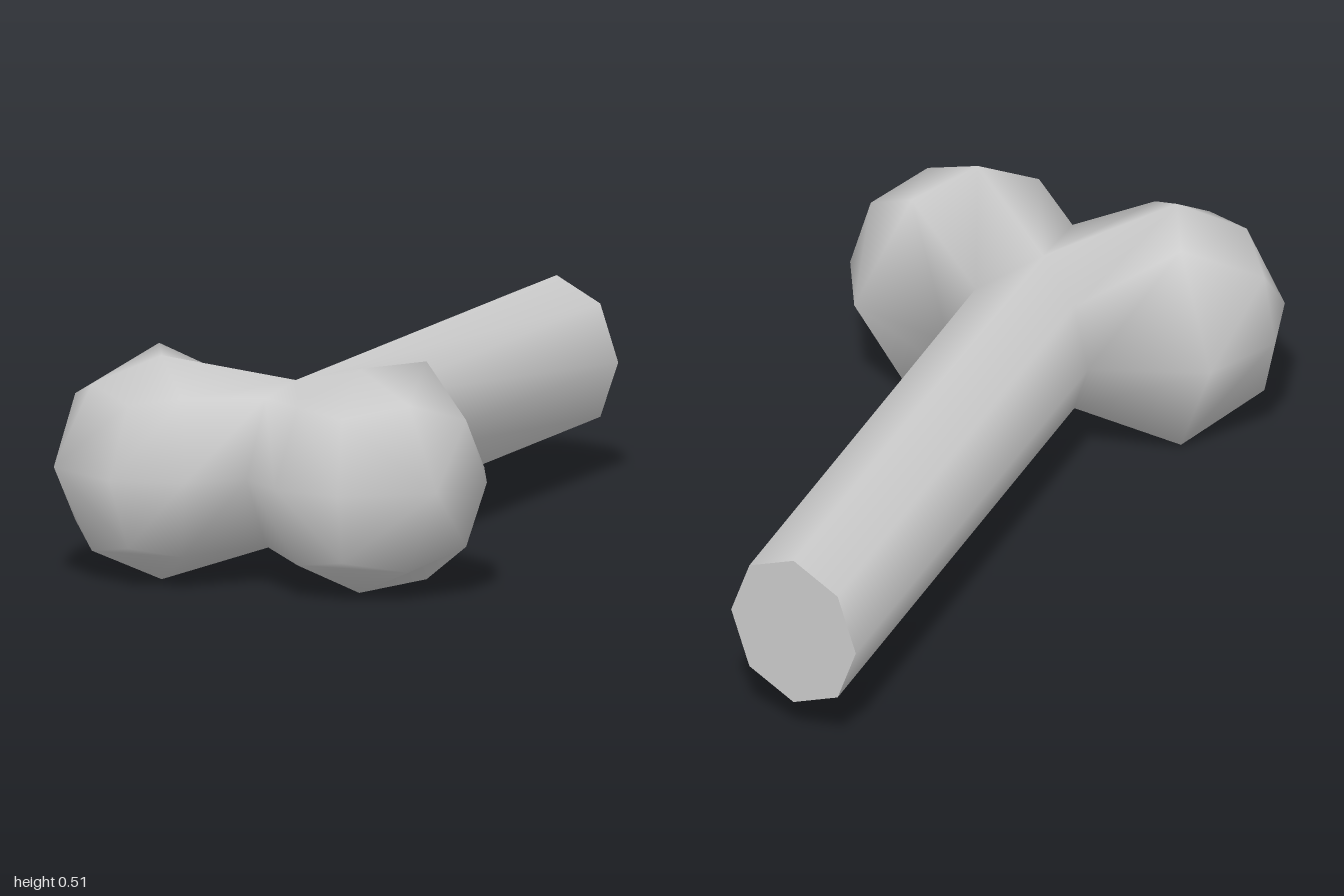
import * as THREE from 'three';
import { mergeVertices } from 'three/addons/utils/BufferGeometryUtils.js';

const MID = 0.257; // height of the bone's axis

// Upper half of each knob ring, outer side to inner side: [x, height above axis, z]
const HALF_RINGS = [
  [[0.168, 0, 0.42], [0.119, 0.129, 0.46], [0, 0.181, 0.57], [0, 0.168, 0.75], [0, 0, 0.86]],
  [[0.43, 0, 0.505], [0.325, 0.248, 0.59], [0.24, 0.255, 0.78], [0.14, 0.18, 0.9], [0.11, 0, 0.962]],
  [[0.513, 0, 0.69], [0.475, 0.144, 0.72], [0.385, 0.19, 0.84], [0.26, 0.163, 0.93], [0.277, 0, 0.998]],
];
const TIP = [0.465, 0, 0.87];

// Complete a half ring by mirroring it below the axis
const fullRing = (half) => [...half, ...half.slice(1, 4).reverse().map(([x, y, z]) => [x, -y, z])];

// Slanted cut at the far end of the shaft
const cutZ = (x) => -0.955 + 0.265 * x;

function surface(positions, smooth) {
  let g = new THREE.BufferGeometry();
  g.setAttribute('position', new THREE.Float32BufferAttribute(positions, 3));
  if (smooth) g = mergeVertices(g, 1e-4);
  g.computeVertexNormals();
  return g;
}

export function createModel() {
  const group = new THREE.Group();
  const bone = new THREE.MeshStandardMaterial({ color: 0xcccccc });
  bone.name = 'bone grey';

  const body = [];
  const cap = [];
  const rings = HALF_RINGS.map(fullRing);

  for (const side of [1, -1]) {
    const tri = (out, a, b, c) => {
      const order = side > 0 ? [a, b, c] : [a, c, b];
      for (const [x, y, z] of order) out.push(side * x, y + MID, z);
    };
    const quad = (a, b, c, d) => {
      tri(body, a, b, c);
      tri(body, a, c, d);
    };
    const atCut = ([x, y]) => [x, y, cutZ(side * x)];

    // Half of the shaft and its cut end
    const arc = [6, 7, 0, 1, 2].map((i) => rings[0][i]);
    for (let i = 0; i < 4; i++) {
      const a = arc[i], b = arc[i + 1];
      quad(atCut(a), atCut(b), b, a);
      tri(cap, atCut(b), atCut(a), [0, 0, cutZ(0)]);
    }

    // Knob: bands between rings, then a fan to the tip
    for (let i = 0; i < 8; i++) {
      const j = (i + 1) % 8;
      for (let r = 0; r < 2; r++) quad(rings[r][i], rings[r][j], rings[r + 1][j], rings[r + 1][i]);
      tri(body, rings[2][i], rings[2][j], TIP);
    }
  }

  const bodyMesh = new THREE.Mesh(surface(body, true), bone);
  bodyMesh.name = 'shaftAndKnobs';
  const capMesh = new THREE.Mesh(surface(cap, false), bone);
  capMesh.name = 'cutEnd';
  group.add(bodyMesh, capMesh);
  group.name = 'bone';
  return group;
}
